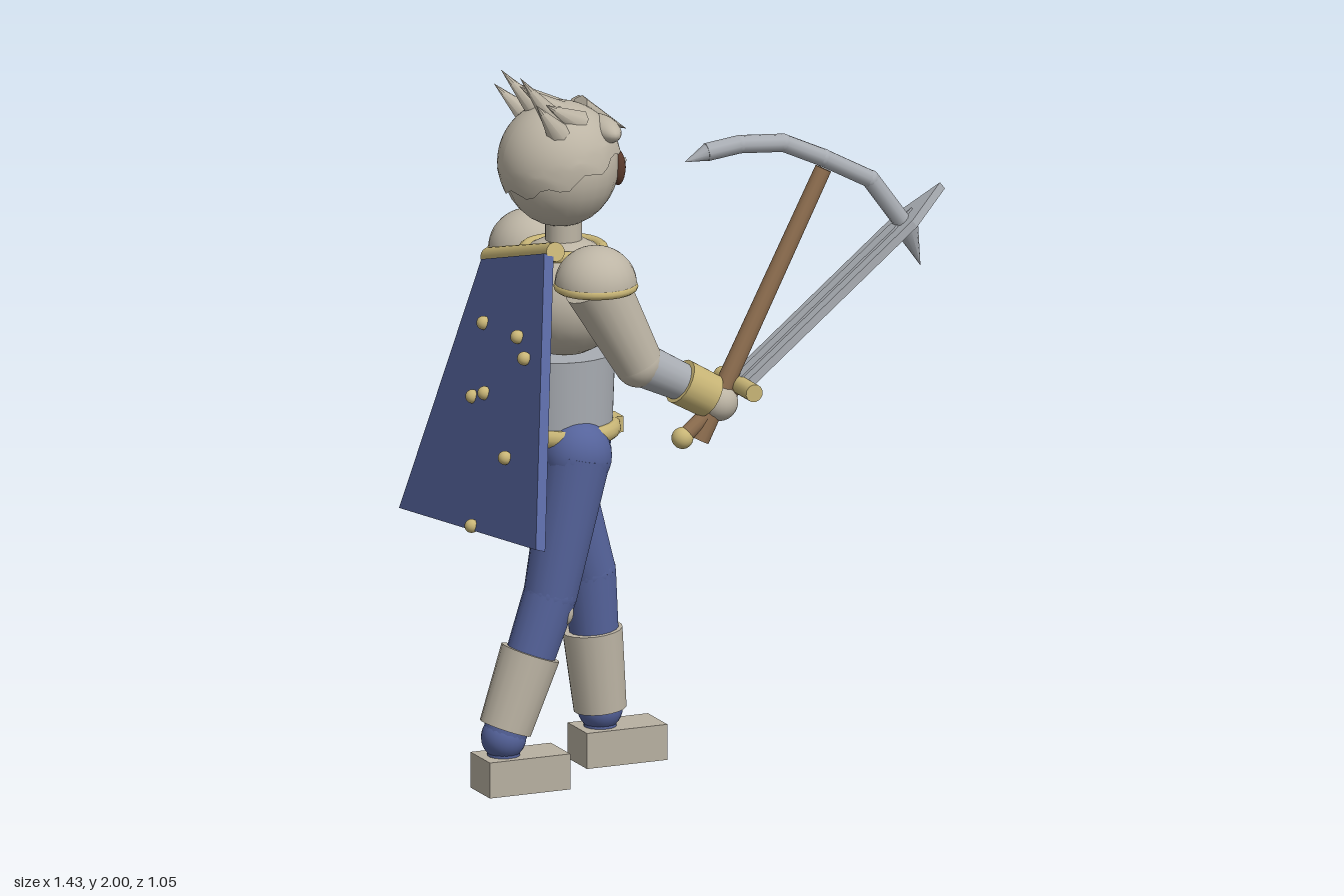
import * as THREE from 'three';
import { ConvexGeometry } from 'three/addons/geometries/ConvexGeometry.js';

const mat = (name, color) => {
  const m = new THREE.MeshStandardMaterial({ color });
  m.name = name;
  return m;
};
const V = (p) => new THREE.Vector3(...p);

export function createModel() {
  const root = new THREE.Group();
  root.name = 'adventurer';
  const cream = mat('cream', 0xbdb5a5);
  const shoeMat = mat('shoe', 0xb8b0a1);
  const blue = mat('blue', 0x55639b);
  const gold = mat('gold', 0xc8b576);
  const steel = mat('steel', 0xa9adb3);
  const brown = mat('wood', 0x8f6f50);
  const eyeMat = mat('eye brown', 0x5a3a2c);
  const dark = mat('pupil', 0x2c2320);
  const white = mat('glint', 0xe8e4dc);

  const add = (name, geo, material, pos = [0, 0, 0], scale = [1, 1, 1], parent = root) => {
    const m = new THREE.Mesh(geo, material);
    m.name = name;
    m.position.set(...pos);
    m.scale.set(...scale);
    parent.add(m);
    return m;
  };
  const ball = (name, material, pos, size, parent) =>
    add(name, new THREE.SphereGeometry(1, 24, 16), material, pos, Array.isArray(size) ? size : [size, size, size], parent);
  // tapered rod from a to b; a zero end radius makes a spike
  const rod = (name, material, a, b, ra, rb = ra, sides = 18, parent = root) => {
    const d = V(b).sub(V(a));
    const m = add(name, new THREE.CylinderGeometry(rb, ra, d.length(), sides), material, [0, 0, 0], [1, 1, 1], parent);
    m.position.copy(V(a)).addScaledVector(d, 0.5);
    m.quaternion.setFromUnitVectors(new THREE.Vector3(0, 1, 0), d.normalize());
    return m;
  };
  // horizontal ring
  const ring = (name, pos, r, tube, scale) =>
    add(name, new THREE.TorusGeometry(r, tube, 10, 28).rotateX(Math.PI / 2), gold, pos, scale);

  // torso
  const X = -0.32, Z = -0.185;
  ball('chest', cream, [X, 1.35, Z], [0.17, 0.165, 0.18]);
  add('waist', new THREE.CylinderGeometry(1, 0.95, 0.2, 24), steel, [X, 1.09, Z], [0.145, 1, 0.125]);
  ball('pelvis', blue, [X, 0.94, Z], [0.13, 0.075, 0.13]);
  ring('belt', [X, 0.975, Z], 0.14, 0.02, [1, 1.2, 0.9]);
  add('beltBuckle', new THREE.BoxGeometry(0.03, 0.045, 0.06), gold, [-0.17, 0.975, Z]);
  add('chestStrap', new THREE.BoxGeometry(0.025, 0.3, 0.035), gold, [-0.168, 1.27, Z]);
  ring('collar', [X, 1.48, Z], 0.105, 0.018);
  rod('neck', cream, [X, 1.45, Z], [X, 1.58, Z], 0.05);

  // legs: the right one trails, the left one leads
  const legs = [
    { side: 'right', z: -0.093, knee: [-0.4, 0.54], cuff: [[-0.46, 0.38], [-0.535, 0.175]], ankle: [-0.54, 0.15], foot: -0.49, patch: [-0.345, 0.5] },
    { side: 'left', z: -0.272, knee: [-0.205, 0.54], cuff: [[-0.195, 0.375], [-0.172, 0.15]], ankle: [-0.172, 0.15], foot: -0.12, patch: [-0.147, 0.52] },
  ];
  for (const { side, z, knee, cuff, ankle, foot, patch } of legs) {
    const hip = [X, 0.92, z], k = [...knee, z], a = [...ankle, z];
    ball(side + 'Hip', blue, hip, [0.096, 0.1, 0.09]);
    rod(side + 'Thigh', blue, hip, k, 0.092, 0.074);
    ball(side + 'Knee', blue, k, 0.074);
    rod(side + 'Shin', blue, k, a, 0.074, 0.06);
    rod(side + 'BootCuff', cream, [...cuff[0], z], [...cuff[1], z], 0.083, 0.073);
    ball(side + 'Ankle', blue, a, 0.062);
    rod(side + 'AnkleStem', blue, a, [a[0], 0.08, z], 0.045);
    add(side + 'Shoe', new THREE.BoxGeometry(0.24, 0.1, 0.13), shoeMat, [foot, 0.05, z]);
    // ragged knee patch
    for (const dz of [-0.03, 0, 0.03])
      ball(side + 'KneePatch', cream, [patch[0] - 0.01 - Math.abs(dz) * 0.5, patch[1] - Math.abs(dz) * 0.3, z + dz], [0.022, 0.036, 0.028]);
  }

  // arms
  const arms = [
    { side: 'right', z: 0.03, elbow: [-0.2, 1.2, 0.045], wrist: [-0.075, 1.135, 0.045], cuffEnd: [0.012, 1.085, 0.045], hand: [0.04, 1.065, 0.045] },
    { side: 'left', z: -0.41, elbow: [-0.27, 1.2, -0.417], wrist: [-0.195, 1.09, -0.42], cuffEnd: [-0.15, 0.985, -0.42], hand: [-0.143, 0.94, -0.42] },
  ];
  for (const { side, z, elbow, wrist, cuffEnd, hand } of arms) {
    const shoulder = [X, 1.43, z];
    add(side + 'Pauldron', new THREE.SphereGeometry(1, 24, 12, 0, Math.PI * 2, 0, Math.PI / 2), cream, shoulder, [0.113, 0.108, 0.113]);
    ring(side + 'PauldronRim', [X, 1.427, z], 0.102, 0.014);
    rod(side + 'UpperArm', cream, shoulder, elbow, 0.09, 0.068);
    ball(side + 'Elbow', cream, elbow, 0.067);
    rod(side + 'Forearm', steel, elbow, wrist, 0.062, 0.053);
    rod(side + 'Bracer', gold, wrist, cuffEnd, 0.064, 0.062);
    ball(side + 'Hand', cream, hand, 0.053);
  }

  // head and face
  const H = [-0.33, 1.72, Z];
  ball('head', cream, H, [0.16, 0.172, 0.162]);
  const capGeo = new THREE.SphereGeometry(0.169, 40, 16, 0, Math.PI * 2, 0, 1.65);
  const p = capGeo.attributes.position;
  for (let i = 0; i < p.count; i++) {
    // wavy lower hairline
    const az = Math.atan2(p.getZ(i), p.getX(i));
    if (p.getY(i) < 0.03) p.setY(i, p.getY(i) + 0.012 * Math.sin(az * 9));
  }
  capGeo.computeVertexNormals();
  const cap = add('hairCap', capGeo, cream, [-0.333, 1.727, Z]);
  cap.rotation.z = 0.36;
  // [base, tip] of each lock of hair
  const locks = [
    [[-0.36, 1.84, -0.12], [-0.49, 2.0, -0.095]], [[-0.36, 1.84, -0.22], [-0.485, 1.99, -0.235]],
    [[-0.37, 1.82, -0.09], [-0.46, 1.93, -0.055]], [[-0.37, 1.82, -0.27], [-0.47, 1.93, -0.315]],
    [[-0.33, 1.86, -0.17], [-0.45, 1.95, -0.19]], [[-0.31, 1.85, -0.24], [-0.43, 1.94, -0.275]],
    [[-0.31, 1.85, -0.11], [-0.42, 1.92, -0.08]],
    [[-0.26, 1.86, -0.22], [-0.105, 1.78, -0.245]], [[-0.25, 1.85, -0.26], [-0.14, 1.79, -0.285]],
  ];
  for (const [a, b] of locks) rod('hairLock', cream, a, b, 0.038, 0, 8);
  ball('fringe', cream, [-0.228, 1.82, -0.14], [0.042, 0.036, 0.1]);
  ball('fringeSide', cream, [-0.232, 1.83, -0.25], [0.04, 0.03, 0.06]);
  for (const s of [-1, 1]) {
    const z = Z + s * 0.064;
    ball('eye', eyeMat, [-0.187, 1.71, z], [0.02, 0.05, 0.027]);
    ball('pupil', dark, [-0.174, 1.71, z], [0.009, 0.03, 0.015]);
    ball('eyeGlint', white, [-0.17, 1.73, z + 0.007], [0.005, 0.009, 0.006]);
  }

  // cape: thin slanted panel hung from a gold bar
  const A = [-0.46, 1.53, 0.03];
  const corners = [A, [-0.455, 1.41, -0.4], [-0.66, 0.71, -0.49], [-0.705, 0.84, 0.52]];
  const n = new THREE.Vector3(-0.956, 0.276, -0.099);
  const capePoints = corners.flatMap((c) => [0.014, -0.014].map((t) => V(c).addScaledVector(n, t)));
  add('cape', new ConvexGeometry(capePoints), blue);
  rod('capeBar', gold, [-0.44, 1.535, 0.03], [-0.44, 1.415, -0.41], 0.027);
  const studs = [[-0.53, -0.25], [-0.59, -0.19], [-0.59, -0.11], [-0.55, 0.02], [-0.7, 0.05], [-0.57, 0.11], [-0.65, 0.16]];
  for (const [x, z] of studs) {
    const y = A[1] + (0.025 - n.x * (x - A[0]) - n.z * (z - A[2])) / n.y;
    ball('capeStud', gold, [x, y, z], 0.019);
  }

  // sword, pointing along its own x
  const sword = new THREE.Group();
  sword.name = 'sword';
  sword.position.set(0.095, 1.11, 0.05);
  sword.rotation.z = 0.68;
  root.add(sword);
  const blade = (name, w, t, end, tip) => {
    const pts = [];
    for (const y of [-t, t]) {
      for (const z of [-w, w]) pts.push(V([0.01, y, z]), V([end, y, z]));
      pts.push(V([tip, y, 0]));
    }
    add(name, new ConvexGeometry(pts), steel, [0, 0, 0], [1, 1, 1], sword);
  };
  blade('blade', 0.05, 0.012, 0.65, 0.785);
  blade('bladeRidge', 0.018, 0.018, 0.6, 0.68);
  rod('swordGuard', gold, [0, 0, -0.11], [0, 0, 0.11], 0.025, 0.025, 12, sword);
  rod('swordGrip', brown, [-0.2, 0, 0], [0, 0, 0], 0.022, 0.022, 12, sword);
  ball('swordPommel', gold, [-0.213, 0, 0], 0.03, sword);

  // pickaxe with a faceted curved head
  const pz = 0.05;
  rod('pickHandle', brown, [-0.02, 0.965, pz], [0.35, 1.69, pz], 0.027, 0.023, 12);
  const arc = [[0, 1.773], [0.1, 1.785], [0.23, 1.775], [0.35, 1.72], [0.49, 1.645], [0.6, 1.495]];
  for (let i = 0; i < arc.length - 1; i++) {
    rod('pickHead', steel, [...arc[i], pz], [...arc[i + 1], pz], 0.025, 0.025, 10);
    ball('pickJoint', steel, [...arc[i + 1], pz], 0.025);
  }
  rod('pickTip', steel, [0.005, 1.773, pz], [-0.065, 1.752, pz], 0.025, 0, 10);
  rod('pickTip', steel, [0.595, 1.505, pz], [0.64, 1.385, pz], 0.036, 0, 10);
  return root;
}
